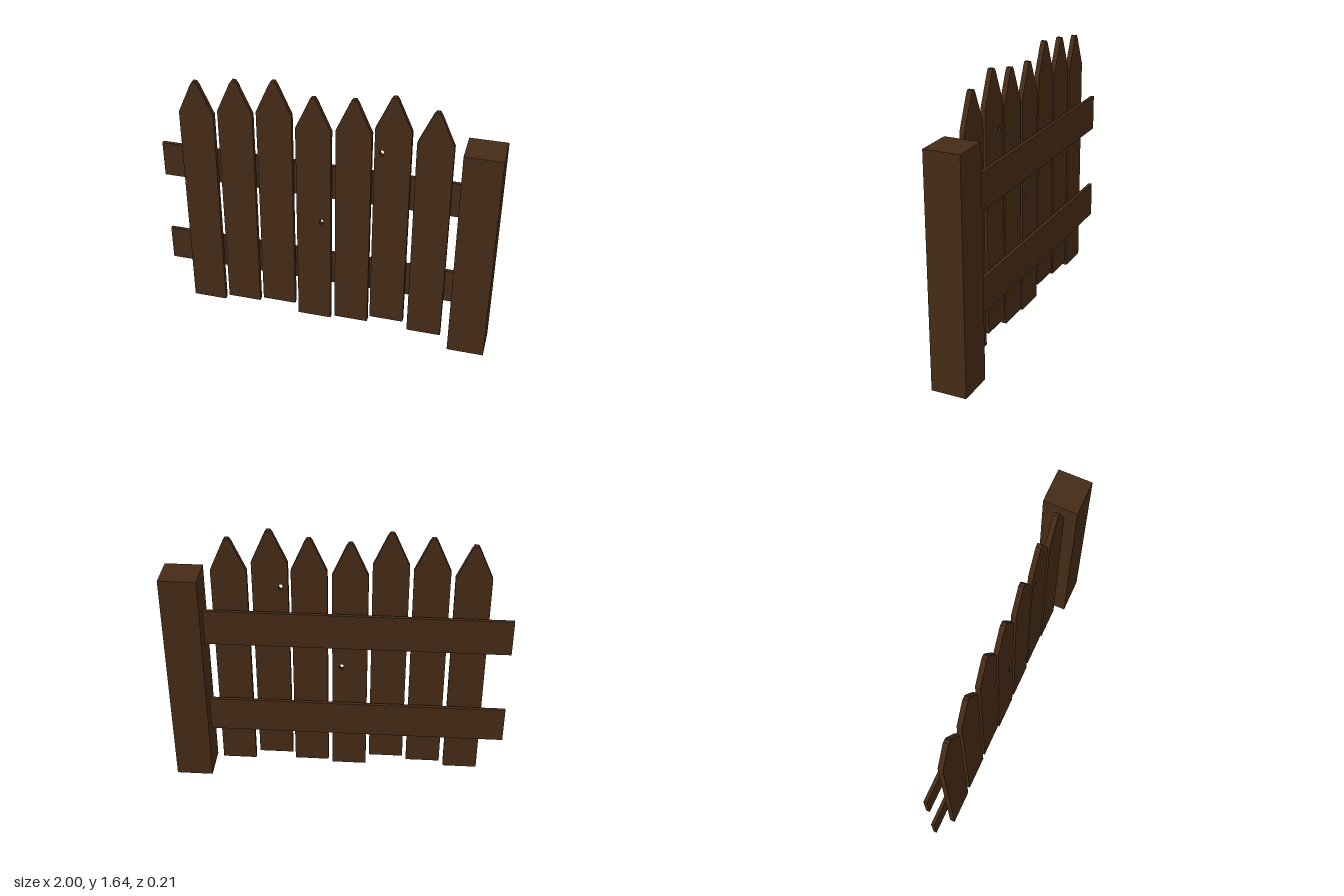
import * as THREE from 'three';

const wood = new THREE.MeshStandardMaterial({ color: 0x452b16, flatShading: true });

// Box given by its min and max corners
function box(name, [x0, y0, z0], [x1, y1, z1]) {
  const mesh = new THREE.Mesh(new THREE.BoxGeometry(x1 - x0, y1 - y0, z1 - z0), wood);
  mesh.position.set((x0 + x1) / 2, (y0 + y1) / 2, (z0 + z1) / 2);
  mesh.name = name;
  return mesh;
}

// Pointed board with a blunted tip and an optional knot hole
function picket(x, y, knot) {
  const w = 0.103, shoulder = 1.33, top = 1.53;
  const shape = new THREE.Shape([
    [-w, 0], [w, 0], [w, shoulder], [0.022, 1.512], [0.01, top],
    [-0.01, top], [-0.022, 1.512], [-w, shoulder],
  ].map(([px, py]) => new THREE.Vector2(px, py)));
  if (knot) {
    const hole = new THREE.Path();
    hole.absellipse(knot[0] - x, knot[1] - y, 0.013, 0.02, 0, Math.PI * 2, true);
    shape.holes.push(hole);
  }
  const geometry = new THREE.ExtrudeGeometry(shape, { depth: 0.03, bevelEnabled: false, curveSegments: 5 });
  const mesh = new THREE.Mesh(geometry, wood);
  mesh.position.set(x, y, 0.018);
  mesh.name = 'picket';
  return mesh;
}

export function createModel() {
  const fence = new THREE.Group();
  fence.name = 'picketFence';

  // Square end post
  fence.add(box('post', [0.78, 0, -0.105], [1, 1.367, 0.105]));

  // Two rails behind the pickets
  fence.add(box('lowerRail', [-1, 0.293, -0.014], [0.79, 0.514, 0.007]));
  fence.add(box('upperRail', [-1, 0.908, -0.014], [0.79, 1.129, 0.007]));

  // Pickets at uneven heights: centre x, bottom y, knot position
  const pickets = [
    [-0.755, 0.05], [-0.523, 0.086], [-0.294, 0.112],
    [-0.067, 0.042, [-0.02, 0.76]], [0.165, 0.062],
    [0.387, 0.107, [0.327, 1.285]], [0.621, 0.05],
  ];
  for (const [x, y, knot] of pickets) fence.add(picket(x, y, knot));

  return fence;
}
